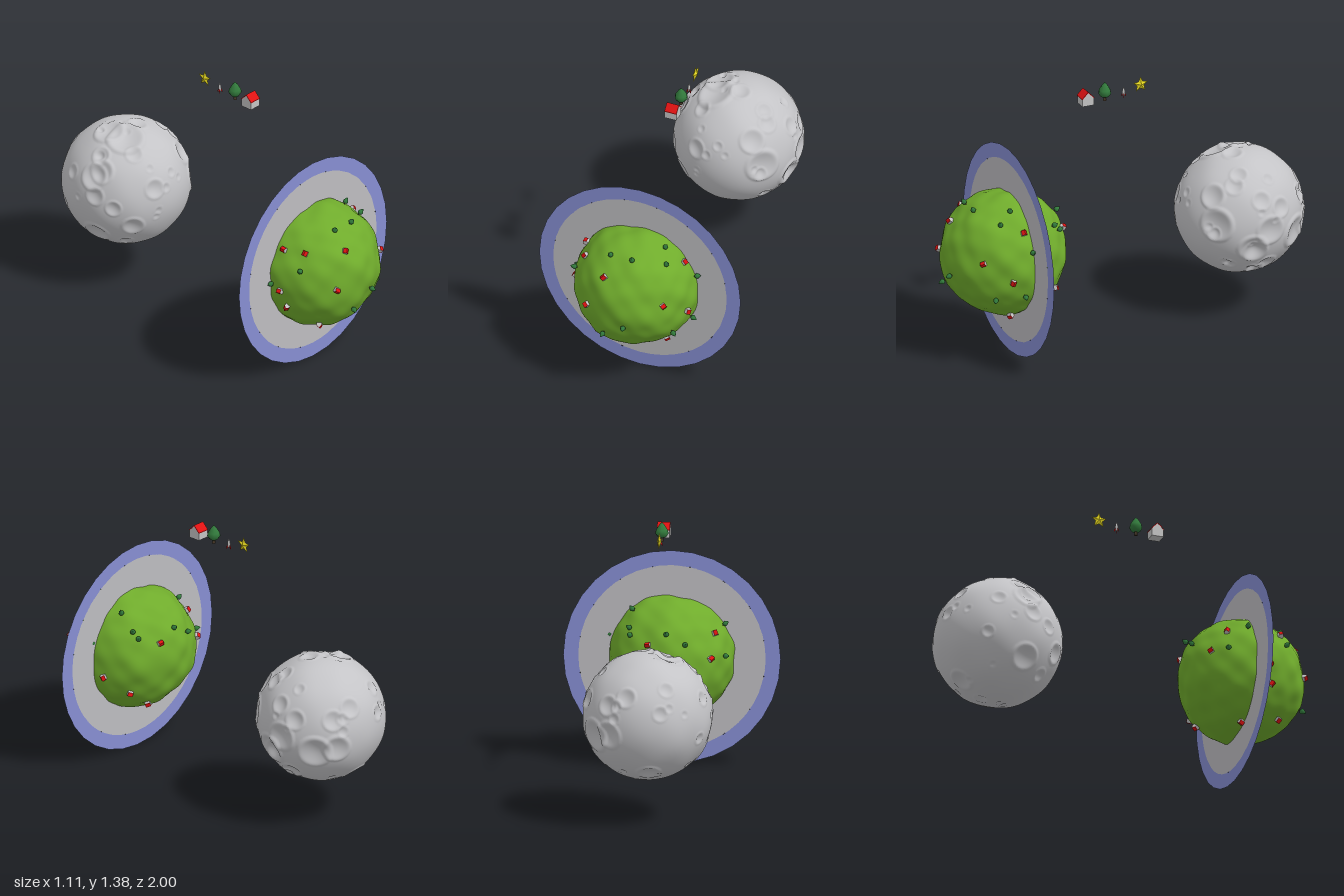
import * as THREE from 'three';
import { mergeVertices } from 'three/addons/utils/BufferGeometryUtils.js';

const V = (x, y, z) => new THREE.Vector3(x, y, z);
const UP = V(0, 1, 0);

function material(name, color, side = THREE.FrontSide) {
  const m = new THREE.MeshStandardMaterial({ color, side });
  m.name = name;
  return m;
}

function seeded(seed) {
  return () => {
    seed = (seed * 16807) % 2147483647;
    return seed / 2147483647;
  };
}

// Smooth sphere whose radius follows a rule of direction
function shapedSphere(detail, radiusAt) {
  let g = new THREE.IcosahedronGeometry(1, detail);
  g.deleteAttribute('normal');
  g.deleteAttribute('uv');
  g = mergeVertices(g, 1e-5);
  const p = g.attributes.position;
  const v = V(0, 0, 0);
  for (let i = 0; i < p.count; i++) {
    v.fromBufferAttribute(p, i).normalize();
    v.multiplyScalar(radiusAt(v));
    p.setXYZ(i, v.x, v.y, v.z);
  }
  g.computeVertexNormals();
  return g;
}

// Rolling hills
function planetRadius(d) {
  const a = Math.sin(5 * d.x + 2 * d.y + 1) * Math.sin(5 * d.y - 3 * d.z) * Math.cos(4 * d.z + d.x);
  const b = Math.sin(11 * d.x + 3 * d.z) * Math.sin(12 * d.y + 2) * Math.cos(10 * d.z - 4 * d.x);
  return 0.322 + 0.008 * a + 0.006 * b;
}

// Craters: bowl with a small raised rim
function moonRule() {
  const rnd = seeded(77);
  const craters = [
    [V(-0.28, 0.92, 0.25), 0.22], [V(0.1, 0.97, 0.15), 0.12], [V(0.78, -0.2, -0.6), 0.2],
    [V(0.9, 0.3, -0.3), 0.12], [V(0.7, 0.1, 0.7), 0.2], [V(0.75, -0.65, -0.1), 0.13],
  ];
  for (let i = 0; i < 60; i++) {
    const y = rnd() * 2 - 1;
    const a = rnd() * Math.PI * 2;
    const s = Math.sqrt(1 - y * y);
    craters.push([V(s * Math.cos(a), y, s * Math.sin(a)), 0.05 + 0.13 * rnd() ** 2]);
  }
  craters.forEach(c => c[0].normalize());
  return d => {
    let r = 0.33 + 0.003 * Math.sin(7 * d.x + 2) * Math.sin(6 * d.y) * Math.cos(8 * d.z);
    for (const [c, size] of craters) {
      const t = d.angleTo(c) / size;
      if (t < 1) r -= 0.1 * size * (1 - t * t);
      else if (t < 1.5) r += 0.03 * size * Math.sin((t - 1) * 2 * Math.PI);
    }
    return r;
  };
}

function polygon(points) {
  return new THREE.Shape(points.map(([x, y]) => new THREE.Vector2(x, y)));
}

// Prism along x, centred, with its outline in the z-y plane
function prism(points, length) {
  return new THREE.ExtrudeGeometry(polygon(points), { depth: length, bevelEnabled: false })
    .translate(0, 0, -length / 2).rotateY(Math.PI / 2);
}

// Five-pointed star, puffed in the middle and thin at its outline
function starGeometry(outer, inner, half) {
  const rim = [];
  for (let i = 0; i < 10; i++) {
    const a = Math.PI / 2 + i * Math.PI / 5;
    const r = i % 2 ? inner : outer;
    rim.push([0, r * Math.sin(a), r * Math.cos(a)]);
  }
  const pos = [];
  rim.forEach((p, i) => {
    const q = rim[(i + 1) % 10];
    pos.push(half, 0, 0, ...q, ...p, -half, 0, 0, ...p, ...q);
  });
  const g = new THREE.BufferGeometry();
  g.setAttribute('position', new THREE.Float32BufferAttribute(pos, 3));
  g.computeVertexNormals();
  return g;
}

export function createModel() {
  const model = new THREE.Group();
  model.name = 'planetScene';
  const mat = {
    grass: material('grassGreen', 0x70ac2c),
    moon: material('moonGrey', 0xc4c4c7),
    disc: material('discGrey', 0xbdbcc0, THREE.DoubleSide),
    ring: material('ringBlue', 0x868ed2, THREE.DoubleSide),
    wall: material('wallGrey', 0xc4c4c4),
    red: material('roofRed', 0xe01212),
    leaf: material('leafGreen', 0x327a3c),
    trunk: material('trunkBrown', 0x4a3a2a),
    star: material('starYellow', 0xe6d820, THREE.DoubleSide),
  };
  const add = (parent, name, geometry, m) => {
    const mesh = new THREE.Mesh(geometry, m);
    mesh.name = name;
    parent.add(mesh);
    return mesh;
  };

  // Planet, moon and the flat disc behind the planet
  const centre = V(0, 0.557, 0.653);
  add(model, 'planet', shapedSphere(24, planetRadius), mat.grass).position.copy(centre);
  add(model, 'moon', shapedSphere(48, moonRule()), mat.moon).position.set(0, 0.558, -0.667);
  add(model, 'innerDisc', new THREE.CircleGeometry(0.478, 48), mat.disc).position.set(0, 0.557, 0.62);
  add(model, 'outerRing', new THREE.RingGeometry(0.478, 0.555, 32), mat.ring).position.set(0, 0.557, 0.62);

  // Shared house and tree parts, standing on y = 0
  const wallGeo = prism([[-0.032, 0], [0.032, 0], [0.032, 0.041], [0, 0.073], [-0.032, 0.041]], 0.064);
  const roofGeo = prism([[-0.034, 0.039], [-0.032, 0.039], [0, 0.071], [0.032, 0.039],
    [0.034, 0.039], [0.034, 0.042], [0, 0.076], [-0.034, 0.042]], 0.066);
  const leafProfile = [[0, 0.018], [0.022, 0.024], [0.034, 0.042], [0.03, 0.06], [0.014, 0.086], [0, 0.101]];
  const leafGeo = new THREE.LatheGeometry(leafProfile.map(([x, y]) => new THREE.Vector2(x, y)), 8);
  const trunkGeo = new THREE.CylinderGeometry(0.007, 0.009, 0.026, 6).translate(0, 0.013, 0);

  const house = () => {
    const g = new THREE.Group();
    g.name = 'house';
    add(g, 'walls', wallGeo, mat.wall);
    add(g, 'roof', roofGeo, mat.red);
    return g;
  };
  const tree = () => {
    const g = new THREE.Group();
    g.name = 'tree';
    add(g, 'foliage', leafGeo, mat.leaf);
    add(g, 'trunk', trunkGeo, mat.trunk);
    return g;
  };

  // Houses and trees scattered over the planet, given by rough position
  const scatter = (make, scale, spots) => spots.forEach(([x, y, z], i) => {
    const d = V(x, y, z).sub(centre).normalize();
    const g = make();
    g.position.copy(centre).addScaledVector(d, planetRadius(d) - 0.004);
    g.quaternion.setFromUnitVectors(UP, d);
    g.rotateY(i * 1.3);
    g.scale.setScalar(scale);
    model.add(g);
  });
  scatter(tree, 0.42, [
    [-0.07, 0.83, 0.835], [0.048, 0.835, 0.84], [0.168, 0.848, 0.69], [0.205, 0.8, 0.76],
    [0.32, 0.667, 0.63], [0.311, 0.425, 0.667], [0.26, 0.416, 0.81], [0.055, 0.498, 0.974],
    [-0.062, 0.42, 0.955], [-0.34, 0.553, 0.635], [-0.278, 0.66, 0.79], [0.195, 0.82, 0.545],
    [0.2, 0.741, 0.46], [0.2, 0.715, 0.42], [0.005, 0.73, 0.365], [-0.09, 0.68, 0.36],
    [-0.27, 0.74, 0.59], [-0.285, 0.6, 0.48],
  ]);
  scatter(house, 0.4, [
    [0.267, 0.763, 0.655], [0.24, 0.615, 0.875], [0.31, 0.517, 0.736], [-0.073, 0.735, 0.905],
    [-0.16, 0.557, 0.93], [-0.233, 0.74, 0.78], [-0.28, 0.744, 0.67], [-0.297, 0.43, 0.71],
    [-0.147, 0.308, 0.8], [0.172, 0.283, 0.69], [-0.143, 0.256, 0.6], [-0.33, 0.527, 0.69],
    [0.1, 0.677, 0.36], [-0.217, 0.6, 0.41], [-0.238, 0.72, 0.487], [0.3, 0.496, 0.565],
    [0.22, 0.405, 0.46], [0.1, 0.325, 0.453],
  ]);

  // Row of floating pieces: house, tree, rocket, star
  const bigHouse = house();
  bigHouse.position.set(0, 1.287, 0.19);
  const bigTree = tree();
  bigTree.position.set(0, 1.286, 0.083);
  model.add(bigHouse, bigTree);

  const rocket = new THREE.Group();
  rocket.name = 'rocket';
  rocket.position.set(0, 1.287, -0.022);
  const bodyProfile = [[0, 0.008], [0.006, 0.008], [0.008, 0.026], [0.006, 0.042], [0, 0.058]];
  add(rocket, 'body', new THREE.LatheGeometry(bodyProfile.map(([x, y]) => new THREE.Vector2(x, y)), 10), mat.wall);
  for (let i = 0; i < 3; i++) {
    const fin = new THREE.ExtrudeGeometry(polygon([[0.005, 0.01], [0.013, 0], [0.013, 0.01], [0.006, 0.024]]),
      { depth: 0.003, bevelEnabled: false }).translate(0, 0, -0.0015);
    add(rocket, 'fin', fin, mat.red).rotation.y = Math.PI / 2 + i * Math.PI * 2 / 3;
  }
  model.add(rocket);

  add(model, 'star', starGeometry(0.043, 0.02, 0.011), mat.star).position.set(-0.006, 1.335, -0.12);
  return model;
}
